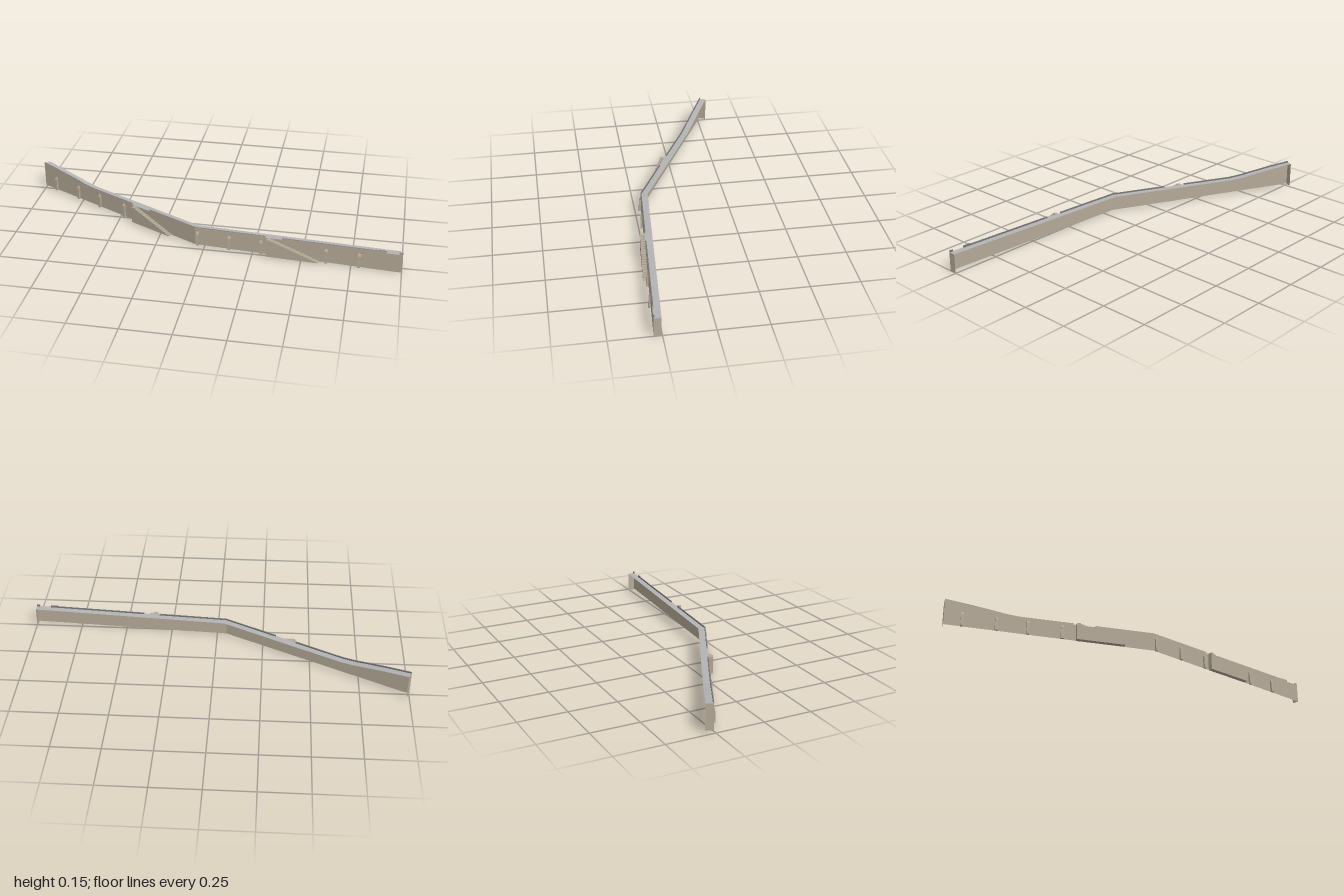
import * as THREE from 'three';

const material = (color) => new THREE.MeshStandardMaterial({ color, side: THREE.DoubleSide, flatShading: true });

// Piecewise linear lookup: knots are [x, value] pairs
function lookup(knots, x) {
  let i = 1;
  while (i < knots.length - 1 && x > knots[i][0]) i++;
  const [x0, v0] = knots[i - 1], [x1, v1] = knots[i];
  return v0 + (v1 - v0) * (x - x0) / (x1 - x0);
}

// Plan and height lines of the wall, all driven by the x of its front face
const frontZ = (x) => lookup([[-1, -0.261], [-0.05, 0.217], [1, 0.29]], x);
const backX = (x) => lookup([[-1, -0.983], [-0.05, -0.04], [1, 1]], x);
const backZ = (x) => lookup([[-1, -0.295], [-0.05, 0.18], [1, 0.253]], x);
const baseY = (x) => lookup([[-1, 0.015], [-0.05, 0.009], [1, 0.001]], x);
const walkY = (x) => lookup([[-1, 0.147], [-0.88, 0.131], [-0.78, 0.115], [-0.73, 0.106], [-0.67, 0.1], [1, 0.101]], x);

// Point at height y, at fraction t of the way from the front to the back edge
const at = (x, y, t) => [x + (backX(x) - x) * t, y, frontZ(x) + (backZ(x) - frontZ(x)) * t];

const BREAKS = [-1, -0.88, -0.78, -0.73, -0.67, -0.05, 1];
const stations = (a, b) => [a, ...BREAKS.filter((x) => x > a && x < b), b];

// Skin a list of open cross-sections
function loft(rows) {
  const n = rows[0].length, index = [];
  for (let i = 0; i < rows.length - 1; i++) {
    for (let j = 0; j < n - 1; j++) {
      const a = i * n + j, b = a + n;
      index.push(a, b, a + 1, b, b + 1, a + 1);
    }
  }
  const geometry = new THREE.BufferGeometry();
  geometry.setAttribute('position', new THREE.Float32BufferAttribute(rows.flat(2), 3));
  geometry.setIndex(index);
  const flat = geometry.toNonIndexed();
  flat.computeVertexNormals();
  return flat;
}

export function createModel() {
  const group = new THREE.Group();
  const stone = material(0xb5aa98), paving = material(0xb4b4b4), trim = material(0x77777a);
  const add = (name, geometry, mat, parent = group) => {
    const mesh = new THREE.Mesh(geometry, mat);
    mesh.name = name;
    parent.add(mesh);
    return mesh;
  };

  // Front wall, walkway and end walls: an open-backed shell
  const all = stations(-1, 1);
  add('frontWall', loft(all.map((x) => [at(x, baseY(x), 0), at(x, walkY(x), 0)])), stone);
  add('walkway', loft(all.map((x) => [at(x, walkY(x), 0), at(x, walkY(x), 1)])), paving);
  for (const [name, x] of [['rightEndWall', -1], ['leftEndWall', 1]]) {
    add(name, loft([0, 1].map((t) => [at(x, baseY(x), t), at(x, walkY(x), t)])), stone);
  }

  // Parapet runs, interrupted at the stair heads and near the left end
  const runs = [[-1, -0.425, 0.007], [-0.32, 0.315, 0.007], [0.4, 0.88, 0.007], [0.88, 0.92, 0.01], [0.982, 1, 0.01]];
  const T = 0.14;
  for (const [a, b, h] of runs) {
    const xs = stations(a, b);
    const top = (x) => walkY(x) + h;
    add('parapetFace', loft(xs.map((x) => [at(x, walkY(x), 0), at(x, top(x), 0)])), stone);
    add('parapetInside', loft(xs.map((x) => [at(x, top(x), 0), at(x, top(x), T), at(x, walkY(x), T)])), trim);
    for (const x of [a, b]) {
      add('parapetEnd', loft([0, T].map((t) => [at(x, walkY(x), t), at(x, top(x), t)])), stone);
    }
  }

  // Place a part against the front face: local x runs along it, local z points outward
  const place = (mesh, x) => {
    const dx = x < -0.05 ? 0.95 : 1.05, dz = x < -0.05 ? 0.478 : 0.073;
    mesh.rotation.y = -Math.atan2(dz, dx);
    mesh.position.set(x, 0, frontZ(x));
  };

  // Buttresses: slim posts with a sloped head
  for (const x of [-0.92, -0.77, -0.63, -0.475, -0.035, 0.13, 0.295, 0.625, 0.79]) {
    const y = baseY(x), w = 0.014;
    const profile = new THREE.Shape([[0, y], [0.012, y], [0.009, y + 0.064], [0, y + 0.076]]
      .map((p) => new THREE.Vector2(...p)));
    const geometry = new THREE.ExtrudeGeometry(profile, { depth: w, bevelEnabled: false });
    geometry.translate(0, 0, -w / 2).rotateY(-Math.PI / 2);
    place(add('buttress', geometry, stone), x);
  }

  // Stair flights descending along the front face
  const STEPS = 18;
  for (const [x, length] of [[-0.412, 0.25], [0.326, 0.26]]) {
    const y0 = baseY(x + length / 2), y1 = walkY(x);
    const rise = (y1 - y0) / STEPS, landing = 0.02, run = (length - landing) / (STEPS - 1);
    const side = new THREE.Shape();
    side.moveTo(0, y0);
    side.lineTo(0, y1);
    for (let i = 0; i < STEPS; i++) {
      side.lineTo(landing + i * run, y1 - i * rise);
      side.lineTo(landing + i * run, y1 - (i + 1) * rise);
    }
    side.closePath();
    place(add('stairs', new THREE.ExtrudeGeometry(side, { depth: 0.024, bevelEnabled: false }), stone), x);
  }

  return group;
}
